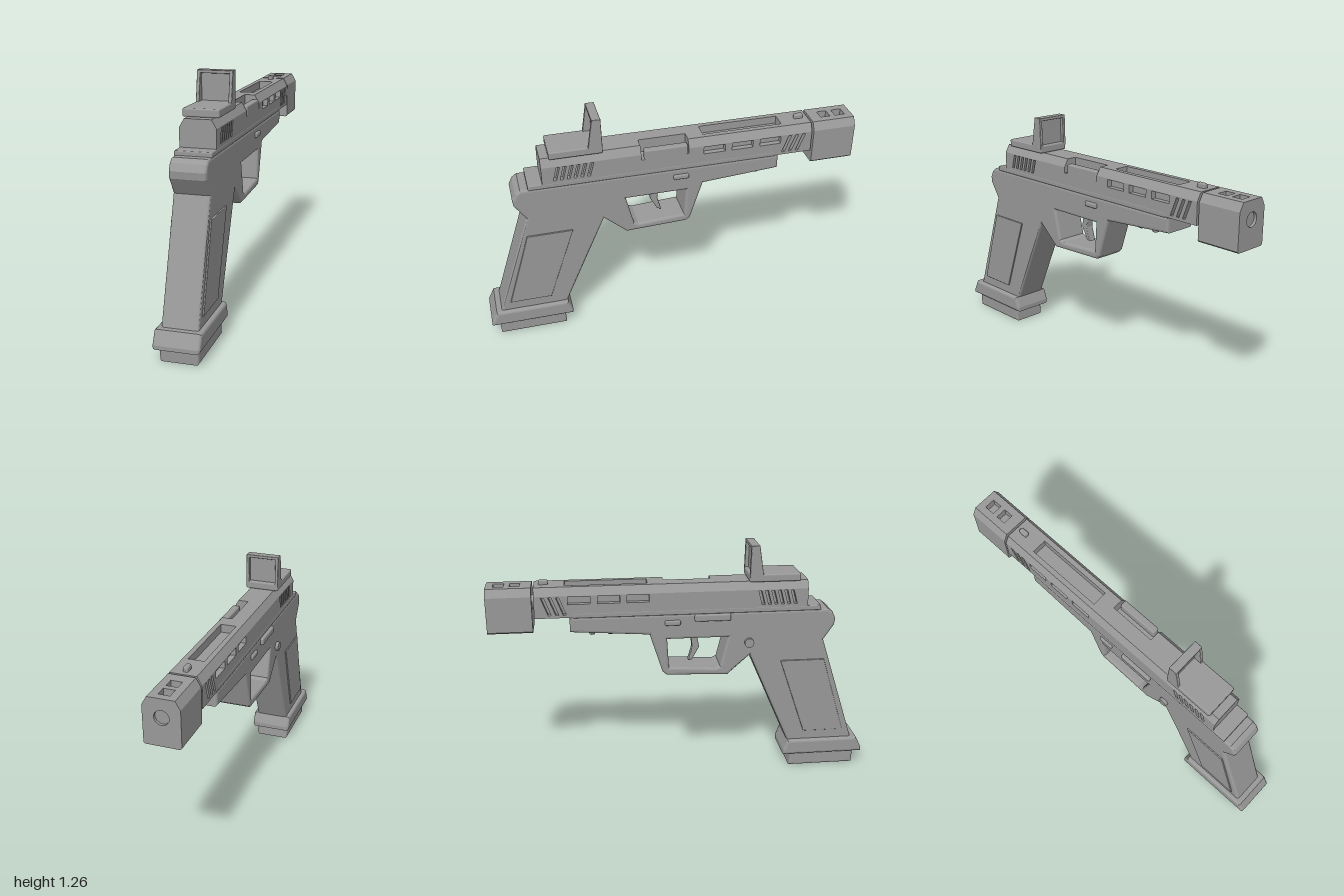
import * as THREE from 'three';
import { RoundedBoxGeometry } from 'three/addons/geometries/RoundedBoxGeometry.js';

export function createModel() {
  const model = new THREE.Group();
  model.name = 'model';
  const grey = new THREE.MeshStandardMaterial({ color: 0x999999 });
  grey.name = 'grey';

  const add = (name, geometry, parent = model) => {
    const mesh = new THREE.Mesh(geometry, grey);
    mesh.name = name;
    parent.add(mesh);
    return mesh;
  };
  const group = (name) => {
    const g = new THREE.Group();
    g.name = name;
    model.add(g);
    return g;
  };
  const outline = (pts) => pts.map(([a, b]) => new THREE.Vector2(a, b));

  // Side profile of [z, y] points, given thickness along x from x0 to x1
  const side = (pts, x0, x1, bevel = 0, holes = []) => {
    const shape = new THREE.Shape(outline(pts));
    holes.forEach((h) => shape.holes.push(new THREE.Path(outline(h))));
    return new THREE.ExtrudeGeometry(shape, {
      depth: x1 - x0 - 2 * bevel, bevelEnabled: bevel > 0,
      bevelSize: bevel, bevelThickness: bevel, bevelOffset: -bevel, bevelSegments: 3,
    }).translate(0, 0, bevel - x1).rotateY(-Math.PI / 2);
  };
  // Cross-section of [x, y] points, extruded from z0 to z1
  const along = (pts, z0, z1, hole) => {
    const shape = new THREE.Shape(outline(pts));
    if (hole) shape.holes.push(hole);
    return new THREE.ExtrudeGeometry(shape, {
      depth: z1 - z0, bevelEnabled: false, curveSegments: 24,
    }).translate(0, 0, z0);
  };
  // Box between two corners, rounded when r is given
  const box = (x0, x1, y0, y1, z0, z1, r = 0) => {
    const size = [x1 - x0, y1 - y0, z1 - z0];
    const g = r ? new RoundedBoxGeometry(...size, 2, r) : new THREE.BoxGeometry(...size);
    return g.translate((x0 + x1) / 2, (y0 + y1) / 2, (z0 + z1) / 2);
  };
  const rect = (z0, z1, y0, y1) => [[z0, y0], [z1, y0], [z1, y1], [z0, y1]];

  // Frame with grip and trigger guard
  const W = 0.09;
  add('frame', side(
    [[0.946, 0.14], [0.753, 0.738], [0.808, 0.82], [0.812, 0.855], [0.795, 0.89], [0.769, 0.91],
      [-0.583, 0.91], [-0.583, 0.829], [-0.174, 0.8], [-0.108, 0.59], [-0.088, 0.572],
      [0.238, 0.56], [0.357, 0.668], [0.587, 0.14]],
    -W, W, 0.014,
    [[[0.238, 0.772], [-0.083, 0.772], [-0.074, 0.615], [0.175, 0.6], [0.198, 0.61]]]));
  for (const s of [-1, 1]) {
    add('gripPanel', side([[0.76, 0.63], [0.523, 0.63], [0.667, 0.21], [0.887, 0.21]],
      s > 0 ? 0.087 : -0.097, s > 0 ? 0.097 : -0.087, 0.003));
    add('framePin', box(s * 0.09 - 0.012, s * 0.09 + 0.012, 0.85, 0.877, -0.095, -0.013, 0.008));
  }
  add('trigger', side([[0.078, 0.79], [0.046, 0.79], [0.056, 0.7], [0.035, 0.625], [0.056, 0.63], [0.094, 0.7]],
    -0.022, 0.022, 0.005));
  for (const z of [-0.28, -0.375, -0.47])
    add('underRib', box(-0.065, 0.065, 0.803, 0.835, z - 0.016, z + 0.016, 0.01));

  // Controls on the right-hand side
  add('slideLever', box(-0.106, -0.08, 0.868, 0.905, 0.06, 0.25, 0.008));
  add('releaseButton', new THREE.CylinderGeometry(0.025, 0.025, 0.03, 24)
    .rotateZ(Math.PI / 2).translate(-0.092, 0.74, 0.35));

  // Magazine well and base
  add('gripBase', side([[0.968, 0.16], [1.0, 0.095], [1.0, 0.075], [0.557, 0.075], [0.557, 0.1], [0.58, 0.16]],
    -0.113, 0.113, 0.014));
  add('magazineFoot', side([[0.96, 0.09], [0.955, 0], [0.595, 0], [0.6, 0.09]], -0.094, 0.094, 0.012));

  // Slide: core, pierced side skins and chamfered top
  const slide = group('slide');
  const B = 0.91, C = 1.025, T = 1.067, REAR = 0.657, NOSE = -0.759;
  const P0 = -0.094, P1 = 0.153, PX = 0.012, PY = 0.995;
  add('slideRail', box(-0.091, 0.091, 0.905, 0.932, -0.565, 0.73, 0.006), slide);
  add('slideCore', box(-0.062, 0.062, B, PY, NOSE, REAR), slide);
  add('slideCoreRear', box(-0.062, 0.062, PY, C, P1, REAR), slide);
  add('slideCorePort', box(-0.062, PX, PY, C, P0, P1), slide);
  add('slideCoreNose', box(-0.062, 0.062, PY, C, NOSE, P0), slide);

  const cuts = [-0.174, -0.324, -0.475].map((z) => rect(z - 0.113, z, 0.98, 1.02));
  const slant = (z, y0, y1, lean) => [[z, y0], [z - 0.016, y0], [z - 0.016 - lean, y1], [z - lean, y1]];
  for (let i = 0; i < 6; i++) cuts.push(slant(0.6 - i * 0.034, 0.945, 1.02, 0.02));
  for (let i = 0; i < 3; i++) cuts.push(slant(-0.597 - i * 0.038, 0.925, 1.018, 0.035));
  add('slideSideRight', side(rect(NOSE, REAR, B, C), -W, -0.06, 0, cuts), slide);
  add('slideSideLeft', side(
    [[NOSE, B], [REAR, B], [REAR, C], [P1, C], [P1, PY], [P0, PY], [P0, C], [NOSE, C]],
    0.06, W, 0, cuts), slide);

  // Chamfered top strip, full width or split by a central opening
  const K = 0.066;
  const cap = (name, z0, z1, parent, gap = 0) => {
    if (!gap) return add(name, along([[-W, C], [W, C], [K, T], [-K, T]], z0, z1), parent);
    for (const s of [-1, 1])
      add(name, along([[s * gap, C], [s * W, C], [s * K, T], [s * gap, T]], z0, z1), parent);
  };
  cap('slideTop', P1, REAR, slide);
  add('slideTopBesidePort', along([[-W, C], [PX, C], [PX, T], [-K, T]], P0, P1), slide);
  cap('slideTop', -0.18, P0, slide);
  cap('slideTop', -0.603, -0.18, slide, 0.04);
  cap('slideTop', NOSE, -0.603, slide);
  add('portBlock', box(0.052, 0.09, 0.985, 1.045, -0.09, 0.135, 0.008), slide);
  add('frontSight', box(-0.013, 0.013, 1.05, 1.09, -0.734, -0.686, 0.008), slide);

  // Barrel and muzzle block with two top ports
  add('barrel', new THREE.CylinderGeometry(0.036, 0.036, 0.26, 32).rotateX(Math.PI / 2).translate(0, 0.975, -0.855));
  const muzzle = group('muzzleBlock');
  const bore = new THREE.Path().absarc(0, 0.975, 0.036, 0, Math.PI * 2, true);
  add('muzzleBody', along([[-W, 0.842], [-0.082, 0.834], [0.082, 0.834], [W, 0.842], [W, C], [-W, C]],
    -1, -0.77, bore), muzzle);
  const stops = [-1, -0.963, -0.908, -0.88, -0.828, -0.77];
  for (let i = 0; i < 5; i++) cap('muzzleTop', stops[i], stops[i + 1], muzzle, i % 2 ? 0.028 : 0);

  // Reflex sight
  const sight = group('reflexSight');
  add('sightBase', box(-W, W, 1.066, 1.107, 0.346, 0.614, 0.008), sight);
  const post = [[0.42, 1.09], [0.346, 1.09], [0.35, 1.257], [0.394, 1.257]];
  add('sightPost', side(post, -W, -0.073, 0.003), sight);
  add('sightPost', side(post, 0.073, W, 0.003), sight);
  add('sightHood', box(-W, W, 1.241, 1.257, 0.35, 0.395, 0.003), sight);
  add('sightWindow', box(-0.075, 0.075, 1.1, 1.245, 0.367, 0.375), sight);

  return model;
}
